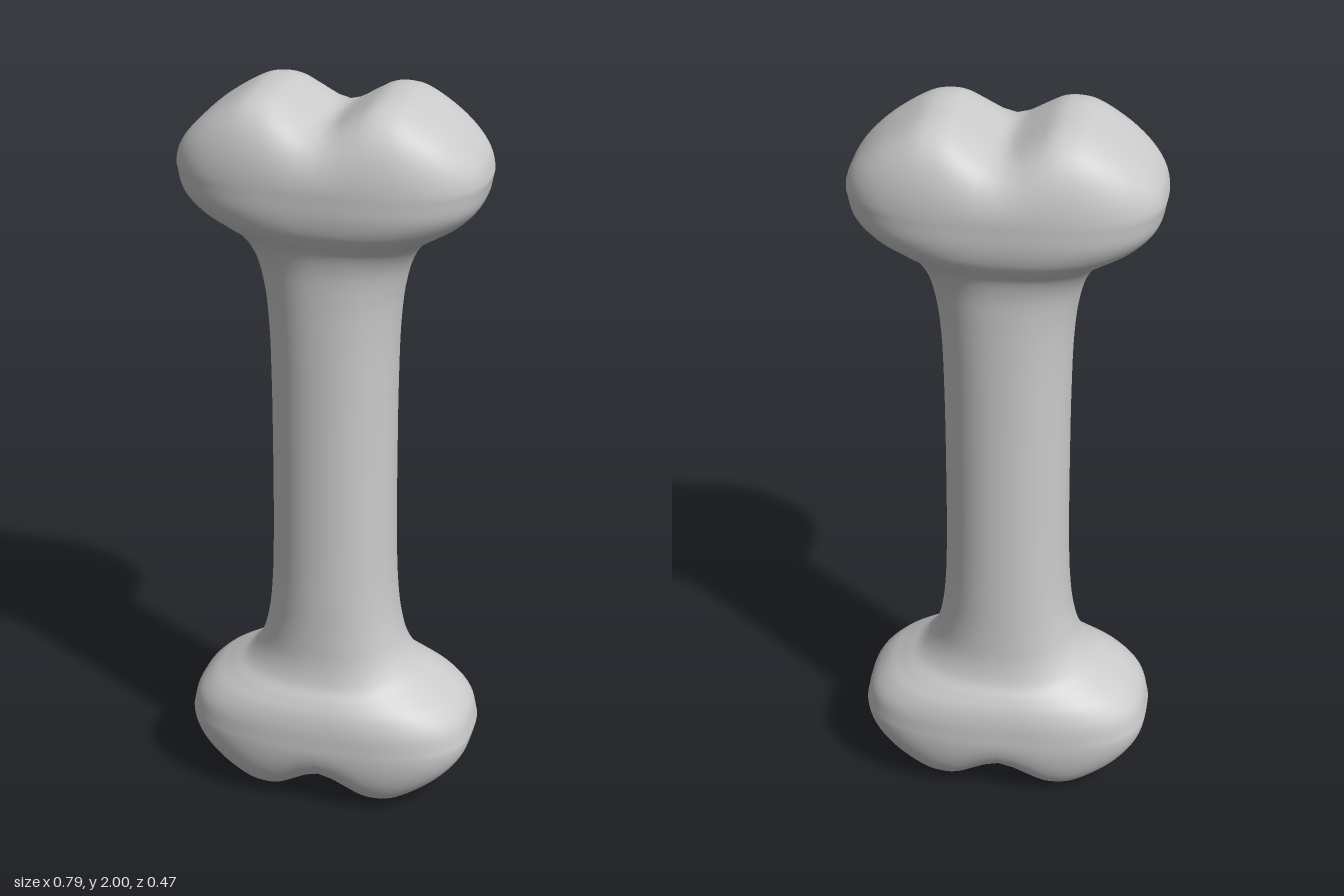
import * as THREE from 'three';

const SEG = 112, CAP = 44, SIDE = 56, EQUATOR = 1.8;
const RX = 0.395, RZ = 0.233;
const V3 = (x, y, z) => new THREE.Vector3(x, y, z);
const V2 = (x, y) => new THREE.Vector2(x, y);

// Upper half of the side wall: half width, height, half depth
const wall = new THREE.CatmullRomCurve3([
  V3(0.163, 1, 0.164), V3(0.164, 1.2, 0.164), V3(0.169, 1.38, 0.165), V3(0.181, 1.49, 0.166),
  V3(0.203, 1.57, 0.17), V3(0.24, 1.625, 0.183), V3(0.29, 1.66, 0.205), V3(0.342, 1.695, 0.222),
  V3(0.38, 1.74, 0.231), V3(RX, EQUATOR, RZ),
]).getPoints(SIDE);

// Crown height across the width: a valley between two knuckles
const crown = new THREE.SplineCurve([
  V2(-0.03, 1.942), V2(0, 1.934), V2(0.03, 1.942), V2(0.08, 1.972), V2(0.12, 1.994), V2(0.16, 2),
  V2(0.21, 1.99), V2(0.29, 1.942), V2(0.35, 1.89), V2(0.383, 1.845), V2(RX, EQUATOR),
]).getPoints(300);

function crownHeight(x) {
  const i = crown.findIndex((p) => p.x >= x);
  if (i < 0) return EQUATOR;
  if (i === 0) return crown[0].y;
  const a = crown[i - 1], b = crown[i];
  return THREE.MathUtils.lerp(a.y, b.y, (x - a.x) / (b.x - a.x || 1));
}

// Point on a rounded (superellipse) outline
function outline(t, rx, rz, n) {
  const c = Math.cos(t), s = Math.sin(t);
  const pow = (v) => Math.sign(v) * Math.pow(Math.abs(v), 2 / n);
  return [rx * pow(c), rz * pow(s)];
}

const HEAD_N = 2.8;

// Rings of the upper half, from mid shaft to the crown
function upperRings() {
  const rings = [];
  for (const p of wall) {
    const n = THREE.MathUtils.lerp(2.1, HEAD_N, (p.x - 0.163) / (RX - 0.163));
    rings.push((t) => {
      const [x, z] = outline(t, p.x, p.z, n);
      return [x, p.y, z];
    });
  }
  for (let k = 1; k <= CAP; k++) {
    const s = Math.cos((k / CAP) * Math.PI / 2);
    rings.push((t) => {
      const [ox, oz] = outline(t, RX, RZ, HEAD_N);
      const x = ox * s, z = oz * s;
      const depth = RZ * Math.pow(Math.max(0, 1 - Math.pow(Math.abs(x) / RX, HEAD_N)), 1 / HEAD_N);
      const q = Math.min(1, Math.abs(z) / Math.max(depth, 1e-5));
      const fall = Math.sqrt(1 - q ** 4);
      return [x, EQUATOR + (crownHeight(Math.abs(x)) - EQUATOR) * fall, z];
    });
  }
  return rings;
}

function boneGeometry() {
  const upper = upperRings();
  // The lower half mirrors the upper one about mid height
  const lower = upper.slice(1).reverse().map((f) => (t) => {
    const [x, y, z] = f(t);
    return [x, 2 - y, z];
  });
  const rings = [...lower, ...upper];
  const positions = [], index = [];
  rings.forEach((f, j) => {
    for (let i = 0; i < SEG; i++) {
      positions.push(...f((i / SEG) * Math.PI * 2));
      if (j === rings.length - 1) continue;
      const a = j * SEG + i, b = j * SEG + (i + 1) % SEG;
      index.push(a, a + SEG, b, b, a + SEG, b + SEG);
    }
  });
  const geometry = new THREE.BufferGeometry();
  geometry.setAttribute('position', new THREE.Float32BufferAttribute(positions, 3));
  geometry.setIndex(index);
  geometry.computeVertexNormals();
  return geometry;
}

export function createModel() {
  const group = new THREE.Group();
  group.name = 'bone';
  // Shaft and both knuckled ends form one smooth skin
  const body = new THREE.Mesh(boneGeometry(), new THREE.MeshStandardMaterial({ color: 0xcccccc }));
  body.name = 'boneBody';
  group.add(body);
  return group;
}
